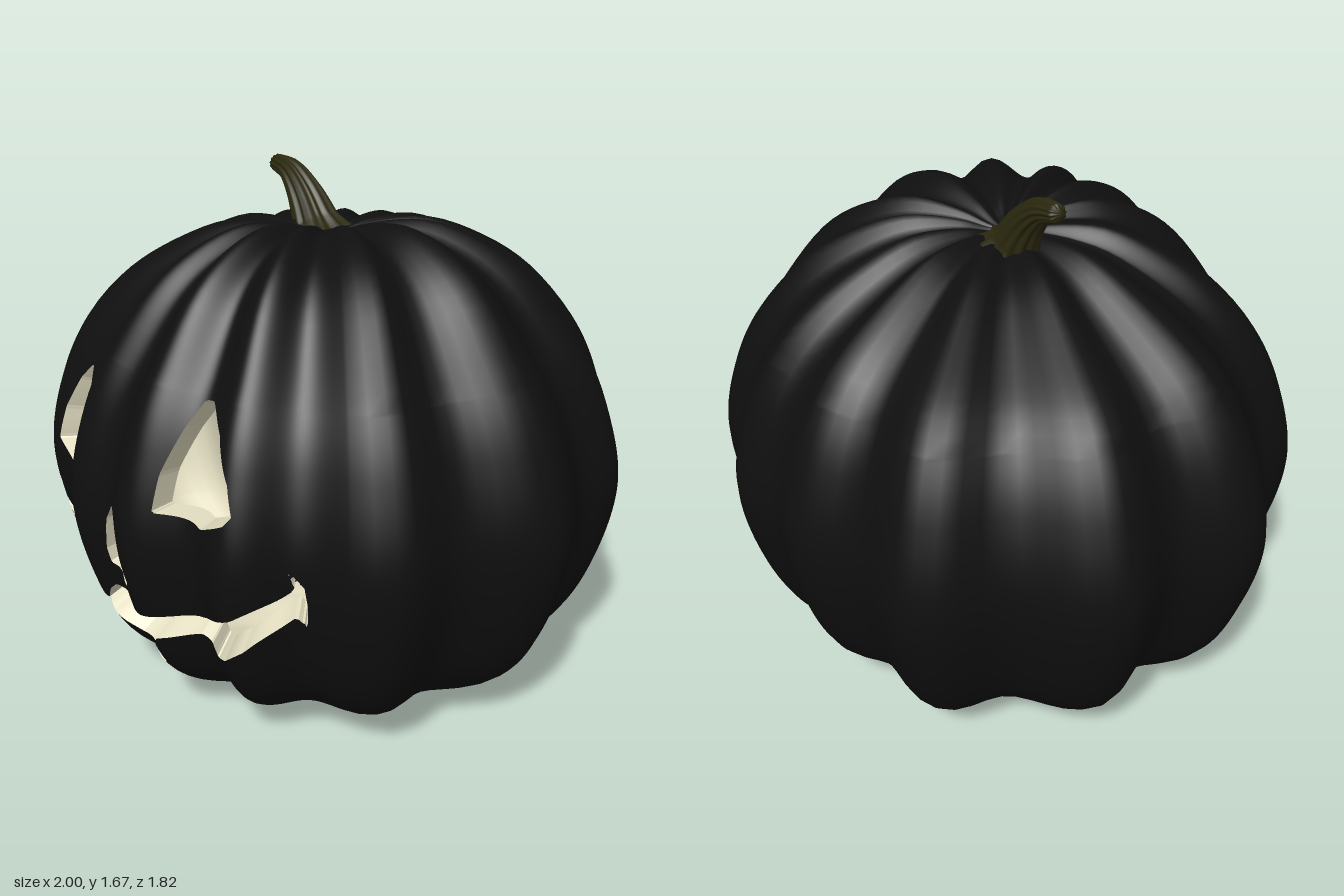
import * as THREE from 'three';

const skin = new THREE.MeshStandardMaterial({ color: 0x0f0f0f, name: 'blackSkin' });
const flesh = new THREE.MeshStandardMaterial({ color: 0xe4dfc2, name: 'creamFlesh' });
const stalk = new THREE.MeshStandardMaterial({ color: 0x2a280e, name: 'oliveStem' });
const { smoothstep, lerp } = THREE.MathUtils;

// Rib crests and valleys around the body: [degrees from +x towards +z, radius]
const RIBS = [[-3, .995], [15, .9], [28, .99], [45, .875], [57, .945], [68, .85], [80, .92], [91, .86],
  [102, .905], [113, .855], [134, .965], [147, .89], [166, 1.02], [181, .92], [195, 1.035], [214, .915],
  [228, 1.015], [246, .875], [258, .92], [270, .874], [282, .935], [295, .895], [306, .97], [316, .94],
  [327, .98], [339, .9], [357, .995]];

// Body profile: [radius, height]
const PROFILE = [[0, .03], [.2, .01], [.35, 0], [.47, .02], [.7, .095], [.84, .21], [.945, .425], [1, .72],
  [.935, .99], [.84, 1.17], [.68, 1.345], [.52, 1.445], [.33, 1.51], [.15, 1.5], [.06, 1.475], [0, 1.465]];

// Carved openings, seen from the front
const CUTS = [
  // eye on the right side
  [[-.358, 1.073], [-.262, .88], [-.235, .75], [-.267, .725], [-.39, .73], [-.52, .778], [-.487, .896], [-.417, 1.013]],
  // eye on the left side
  [[.267, 1.136], [.3, 1.14], [.396, 1.083], [.476, .97], [.508, .885], [.49, .858], [.374, .8], [.23, .82],
    [.23, .933], [.25, 1.067]],
  // nose
  [[.016, .767], [.07, .68], [.128, .553], [.118, .537], [-.048, .532], [-.053, .586], [-.027, .703]],
  // mouth with three teeth
  [[-.567, .615], [-.556, .537], [-.417, .49], [-.32, .457], [-.3, .41], [-.22, .36], [-.134, .356], [-.1, .41],
    [-.064, .44], [.144, .441], [.33, .479], [.503, .559], [.583, .623], [.61, .655], [.6, .714], [.63, .66],
    [.632, .596], [.62, .516], [.6, .555], [.508, .441], [.417, .366], [.342, .329], [.337, .388], [.294, .398],
    [.17, .355], [.15, .33], [.139, .227], [-.053, .238], [-.176, .275], [-.39, .382], [-.54, .468],
    [-.572, .505], [-.588, .425], [-.617, .53], [-.61, .575]],
];

// Signed distance to the openings: negative inside a hole
function cutDistance(p) {
  if (p.z < .3) return 1;
  let best = 1, inside = false;
  for (const poly of CUTS) {
    poly.forEach(([ax, ay], i) => {
      const [bx, by] = poly[(i + 1) % poly.length];
      const dx = bx - ax, dy = by - ay;
      const t = THREE.MathUtils.clamp(((p.x - ax) * dx + (p.y - ay) * dy) / (dx * dx + dy * dy), 0, 1);
      best = Math.min(best, Math.hypot(p.x - ax - t * dx, p.y - ay - t * dy));
      if ((ay > p.y) !== (by > p.y) && p.x < ax + dx * (p.y - ay) / dy) inside = !inside;
    });
  }
  return inside ? -best : best;
}

// Radius and groove depth (0 crest, 1 valley) at an angle
function ribAt(deg) {
  const i = Math.max(0, RIBS.findIndex((r, k) => k < RIBS.length - 1 && deg < RIBS[k + 1][0]));
  const [a0, r0] = RIBS[i], [a1, r1] = RIBS[i + 1];
  const s = (1 - Math.cos(Math.PI * (deg - a0) / (a1 - a0))) / 2;
  return { radius: lerp(r0, r1, s), groove: i % 2 ? 1 - s : s };
}

function bodyPoint(deg, r, y) {
  const { radius, groove } = ribAt(deg), a = deg * Math.PI / 180;
  const x = r * radius * Math.cos(a), z = r * radius * Math.sin(a);
  const tilt = smoothstep(y, 1.2, 1.5) * (.11 * x + .07 * z);
  const dent = smoothstep(y, .9, 1.4) * groove * .04 * Math.min(1, r / .3);
  return new THREE.Vector3(x, y + tilt - dent, z);
}

function meshFrom(name, positions, normals, material) {
  const g = new THREE.BufferGeometry();
  g.setAttribute('position', new THREE.Float32BufferAttribute(positions, 3));
  if (normals) g.setAttribute('normal', new THREE.Float32BufferAttribute(normals, 3));
  else g.computeVertexNormals();
  const mesh = new THREE.Mesh(g, material);
  mesh.name = name;
  return mesh;
}

function makeBody() {
  // Sample finely across the face and coarsely elsewhere
  const angles = [], rows = [];
  for (let a = -3; a < 356.9; a += (a >= 35 && a < 145) ? .75 : 3.5) angles.push(a);
  const curve = new THREE.CatmullRomCurve3(PROFILE.map(([r, y]) => new THREE.Vector3(r, y, 0)));
  const last = PROFILE.length - 1;
  for (let s = 0; s < last; s++) {
    const n = s >= 5 && s < 9 ? 20 : 4;
    for (let k = 0; k < n; k++) rows.push(curve.getPoint((s + k / n) / last));
  }
  rows.push(curve.getPoint(1));

  const cols = angles.length, points = [], index = [];
  for (const row of rows) for (const a of angles) points.push(bodyPoint(a, Math.max(row.x, 0), Math.max(row.y, 0)));
  for (let j = 0; j < rows.length - 1; j++) {
    for (let i = 0; i < cols; i++) {
      const n = (i + 1) % cols, a = j * cols + i, b = j * cols + n, c = a + cols, d = b + cols;
      index.push(a, c, b, b, c, d);
    }
  }
  const grid = new THREE.BufferGeometry().setFromPoints(points);
  grid.setIndex(index);
  grid.computeVertexNormals();
  const verts = points.map((p, i) => ({
    p, n: new THREE.Vector3().fromBufferAttribute(grid.attributes.normal, i), d: cutDistance(p),
  }));

  // Clip every triangle at the openings; the inner shell is a shrunken, reversed copy
  const centre = new THREE.Vector3(0, .78, 0);
  const inset = p => p.clone().sub(centre).multiplyScalar(.9).add(centre);
  const outer = [], outerN = [], inner = [], innerN = [], wall = [];
  for (let k = 0; k < index.length; k += 3) {
    const tri = [0, 1, 2].map(i => verts[index[k + i]]), keep = [];
    let leave, enter;
    tri.forEach((u, i) => {
      const v = tri[(i + 1) % 3];
      if (u.d >= 0) keep.push(u);
      if ((u.d >= 0) === (v.d >= 0)) return;
      const t = u.d / (u.d - v.d);
      const cross = { p: u.p.clone().lerp(v.p, t), n: u.n.clone().lerp(v.n, t).normalize() };
      keep.push(cross);
      if (u.d >= 0) leave = cross.p; else enter = cross.p;
    });
    for (let i = 1; i < keep.length - 1; i++) {
      for (const v of [keep[0], keep[i], keep[i + 1]]) {
        outer.push(...v.p);
        outerN.push(...v.n);
      }
      for (const v of [keep[0], keep[i + 1], keep[i]]) {
        inner.push(...inset(v.p));
        innerN.push(-v.n.x, -v.n.y, -v.n.z);
      }
    }
    if (leave && enter) {
      const l = inset(leave), e = inset(enter);
      for (const p of [enter, leave, l, enter, l, e]) wall.push(...p);
    }
  }
  return [meshFrom('pumpkinSkin', outer, outerN, skin), meshFrom('hollowInside', inner, innerN, flesh),
    meshFrom('carvedEdges', wall, null, flesh)];
}

// Fluted stem that bends towards the right side
function makeStem() {
  const path = new THREE.CatmullRomCurve3([[-.09, 1.43, -.035], [-.115, 1.48, -.035], [-.163, 1.56, -.03],
    [-.235, 1.622, -.03], [-.318, 1.642, -.03]].map(p => new THREE.Vector3(...p)));
  const radii = [.11, .072, .055, .038, .026], R = 24, S = 60, pts = [], index = [];
  for (let j = 0; j <= R; j++) {
    const t = j / R, f = Math.min(t * 4, 3.999), i = Math.floor(f);
    const c = path.getPoint(t), tan = path.getTangent(t);
    const side = new THREE.Vector3(0, 0, 1), up = new THREE.Vector3().crossVectors(side, tan).normalize();
    for (let k = 0; k < S; k++) {
      const a = k / S * Math.PI * 2;
      const r = lerp(radii[i], radii[i + 1], f - i) * (1 + .09 * Math.cos(a * 12));
      pts.push(c.clone().addScaledVector(up, r * Math.cos(a)).addScaledVector(side, r * Math.sin(a)));
      if (j === R) continue;
      const p = j * S + k, q = j * S + (k + 1) % S;
      index.push(p, q, p + S, q, q + S, p + S);
    }
  }
  // rounded tip
  const tip = pts.push(path.getPoint(1).add(new THREE.Vector3(-.012, .002, 0))) - 1;
  for (let k = 0; k < S; k++) index.push(R * S + k, R * S + (k + 1) % S, tip);
  const g = new THREE.BufferGeometry().setFromPoints(pts);
  g.setIndex(index);
  g.computeVertexNormals();
  const mesh = new THREE.Mesh(g, stalk);
  mesh.name = 'stem';
  return mesh;
}

export function createModel() {
  const model = new THREE.Group();
  model.name = 'carvedPumpkin';
  model.add(...makeBody(), makeStem());
  return model;
}
